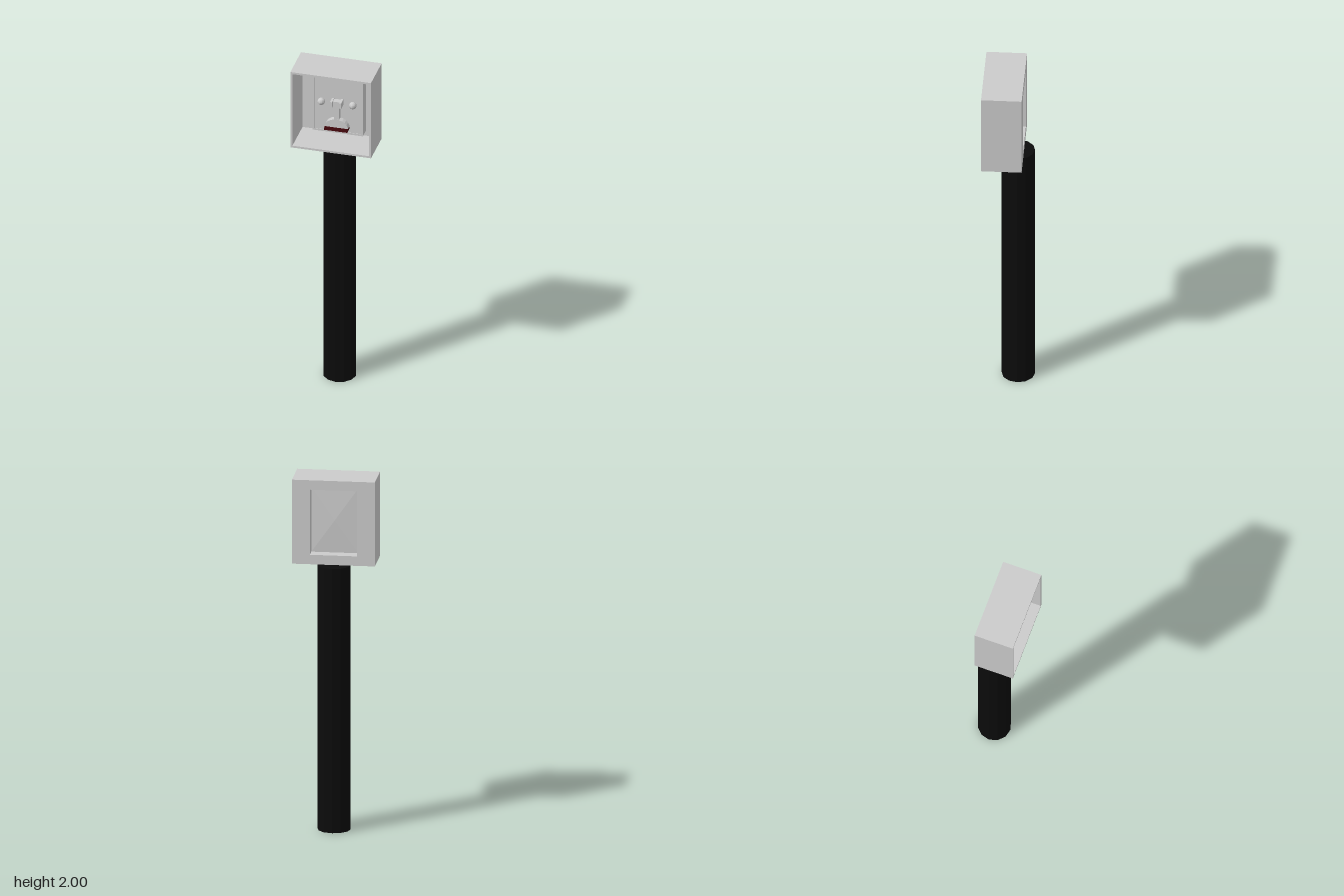
import * as THREE from 'three';

const grey = new THREE.MeshStandardMaterial({ color: 0xcccccc, flatShading: true });
const black = new THREE.MeshStandardMaterial({ color: 0x0b0b0b, flatShading: true });
const red = new THREE.MeshStandardMaterial({ color: 0x3a0509, flatShading: true });

const HEAD_Y = 1.757; // centre height of the head

function rect(Target, halfW, halfH) {
  const p = new Target();
  p.moveTo(-halfW, -halfH);
  p.lineTo(halfW, -halfH);
  p.lineTo(halfW, halfH);
  p.lineTo(-halfW, halfH);
  p.closePath();
  return p;
}

function add(group, name, geometry, material, x, y, z) {
  const mesh = new THREE.Mesh(geometry, material);
  mesh.name = name;
  mesh.position.set(x, y, z);
  group.add(mesh);
  return mesh;
}

// Rectangular ring running from z0 to z1
function ring(group, name, outer, inner, z0, z1) {
  const shape = rect(THREE.Shape, ...outer);
  shape.holes.push(rect(THREE.Path, ...inner));
  const geometry = new THREE.ExtrudeGeometry(shape, { depth: z1 - z0, bevelEnabled: false });
  return add(group, name, geometry, grey, 0, HEAD_Y, z0);
}

function box(group, name, w, h, d, x, y, z, material = grey) {
  return add(group, name, new THREE.BoxGeometry(w, h, d), material, x, y, z);
}

export function createModel() {
  const model = new THREE.Group();
  model.name = 'faceOnPole';

  // Twelve-sided pole behind the head's centre
  add(model, 'pole', new THREE.CylinderGeometry(0.092, 0.092, 1.51, 12), black, 0, 0.755, -0.05);

  // Hollow head, open at the front, with a tray pushed in from the back
  const head = new THREE.Group();
  head.name = 'head';
  model.add(head);
  ring(head, 'headWalls', [0.23, 0.24], [0.218, 0.228], -0.083, 0.141);
  ring(head, 'backWall', [0.219, 0.229], [0.131, 0.186], -0.083, -0.071);
  ring(head, 'trayWalls', [0.143, 0.197], [0.131, 0.186], -0.082, -0.007);
  box(head, 'facePanel', 0.262, 0.372, 0.008, 0, HEAD_Y, -0.014);

  // Shallow faceted back of the face panel
  const facets = new THREE.ConeGeometry(Math.SQRT2, 1, 4, 1, true);
  facets.rotateY(Math.PI / 4).rotateX(-Math.PI / 2).scale(0.131, 0.186, 0.01);
  add(head, 'panelBack', facets, grey, 0, HEAD_Y, -0.023);

  // Face
  const face = new THREE.Group();
  face.name = 'face';
  model.add(face);
  for (const side of [-1, 1]) {
    add(face, side > 0 ? 'leftEye' : 'rightEye', new THREE.SphereGeometry(0.021, 12, 8), grey, side * 0.09, 1.757, 0.008);
    box(face, 'browEnd', 0.012, 0.034, 0.05, side * 0.026, 1.761, 0.014);
  }
  box(face, 'browBar', 0.042, 0.026, 0.034, 0, 1.761, 0.006);
  box(face, 'noseStem', 0.03, 0.1, 0.032, 0, 1.7, 0.005);

  // Domed mouth
  const dome = new THREE.Shape();
  dome.moveTo(0.067, 0);
  dome.absellipse(0, 0, 0.067, 0.055, 0, Math.PI, false);
  dome.closePath();
  const domeGeometry = new THREE.ExtrudeGeometry(dome, { depth: 0.035, bevelEnabled: false, curveSegments: 6 });
  add(face, 'mouthDome', domeGeometry, grey, 0, 1.607, -0.012);

  // Sloping red lip below the dome
  const lip = new THREE.Shape();
  lip.moveTo(0, 0);
  lip.lineTo(0.052, 0);
  lip.lineTo(0.035, 0.014);
  lip.lineTo(0, 0.014);
  lip.closePath();
  const lipGeometry = new THREE.ExtrudeGeometry(lip, { depth: 0.134, bevelEnabled: false });
  lipGeometry.translate(0, 0, -0.067).rotateY(-Math.PI / 2);
  add(face, 'lip', lipGeometry, red, 0, 1.597, -0.012);

  return model;
}
